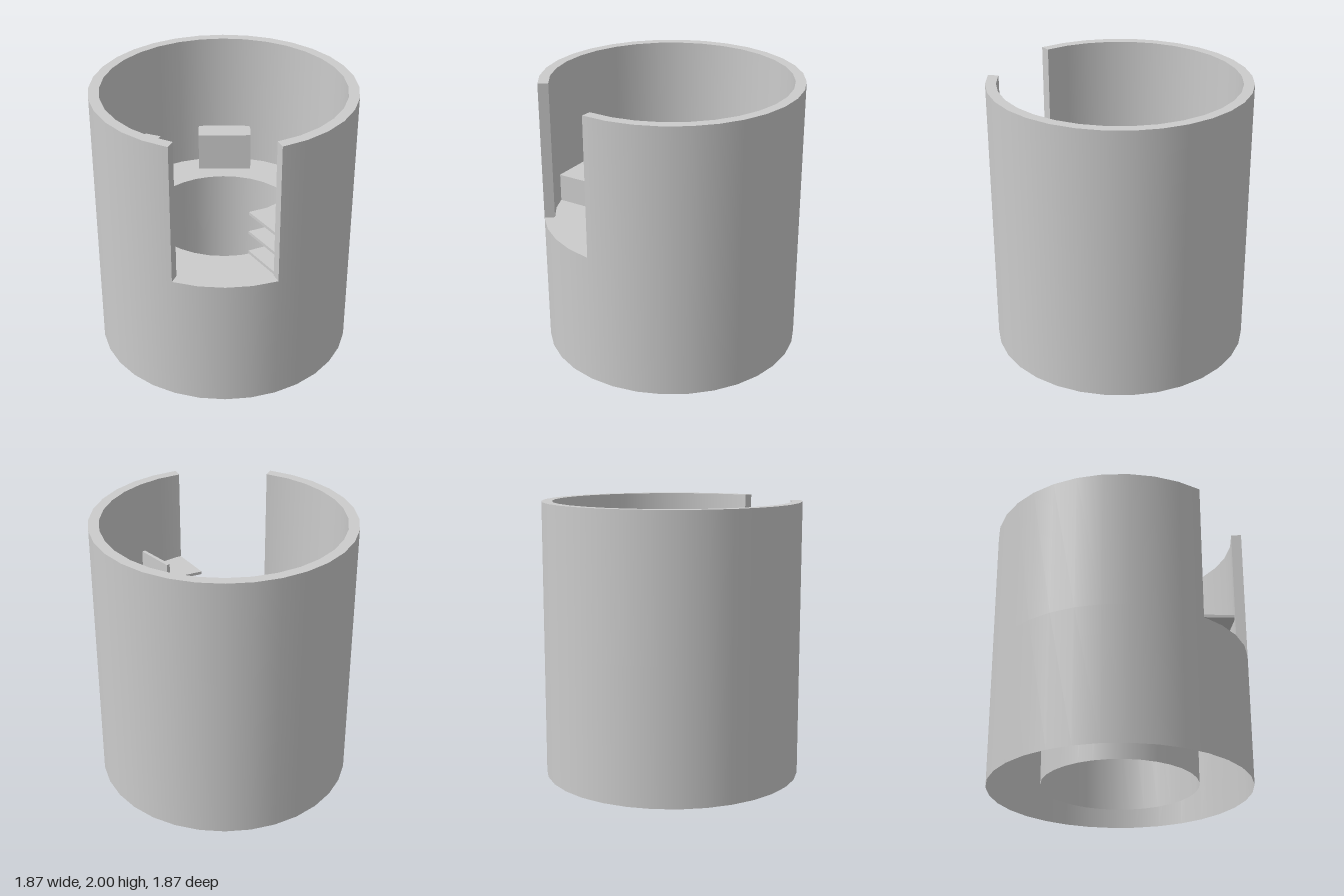
import * as THREE from 'three';

const OUTER = 0.935, INNER = 0.86, HOLE = 0.557, FLOOR = 0.975, TOP = 2;
const GAP = Math.PI / 8; // half angle of the front opening

export function createModel() {
  const group = new THREE.Group();
  const mat = new THREE.MeshStandardMaterial({ color: 0xcccccc, side: THREE.DoubleSide });

  const add = (name, geometry, parent = group) => {
    const mesh = new THREE.Mesh(geometry, mat);
    mesh.name = name;
    parent.add(mesh);
    return mesh;
  };

  // One lathed band between two profile points, so edges between bands stay sharp
  const band = (name, a, b, open) => {
    const pts = [new THREE.Vector2(...a), new THREE.Vector2(...b)];
    return add(name, open
      ? new THREE.LatheGeometry(pts, 28, GAP, Math.PI * 2 - 2 * GAP)
      : new THREE.LatheGeometry(pts, 32));
  };

  // Lower body: outer skin, floor ring and central tube, open underneath
  band('lowerShell', [OUTER, 0], [OUTER, FLOOR], false);
  band('floorRing', [OUTER, FLOOR], [HOLE, FLOOR], false);
  band('centralTube', [HOLE, FLOOR], [HOLE, 0.03], false);

  // Upper wall with the opening at the front
  band('upperWallOutside', [OUTER, FLOOR], [OUTER, TOP], true);
  band('upperWallRim', [OUTER, TOP], [INNER, TOP], true);
  band('upperWallInside', [INNER, TOP], [INNER, FLOOR], true);
  for (const side of [-1, 1]) {
    const r = (OUTER + INNER) / 2;
    const end = add(side > 0 ? 'leftWallEnd' : 'rightWallEnd',
      new THREE.PlaneGeometry(OUTER - INNER, TOP - FLOOR));
    end.position.set(side * r * Math.sin(GAP), (FLOOR + TOP) / 2, r * Math.cos(GAP));
    end.rotation.y = side * GAP - Math.PI / 2;
  }

  // Upright prism over a plan outline given as [x, z] corners
  const prism = (name, plan, y0, y1, parent) => {
    const shape = new THREE.Shape(plan.map(([x, z]) => new THREE.Vector2(x, -z)));
    const geo = new THREE.ExtrudeGeometry(shape, { depth: y1 - y0, bevelEnabled: false });
    geo.rotateX(-Math.PI / 2).translate(0, y0, 0);
    return add(name, geo, parent);
  };

  // Blocks standing on the floor around the hole
  prism('backBlock', [[-0.19, -0.68], [0.215, -0.68], [0.215, -0.85], [-0.19, -0.85]], FLOOR, 1.27);
  prism('leftBlock', [[0.67, 0.225], [0.81, 0.225], [0.81, -0.305], [0.67, -0.305]], FLOOR, 1.32);
  prism('rightBackBlock', [[-0.48, -0.575], [-0.6, -0.625], [-0.81, -0.14], [-0.68, -0.09]], FLOOR, 1.32);
  prism('rightFrontBlock', [[-0.63, 0.05], [-0.375, 0.515], [-0.585, 0.63], [-0.84, 0.165]], FLOOR, 1.18);

  // Rack of three thin shelves against an upright plate
  const rack = new THREE.Group();
  rack.name = 'shelfRack';
  group.add(rack);
  const shelf = [[0.165, 0.53], [0.33, 0.79], [0.36, 0.775], [0.6, 0.6], [0.405, 0.38], [0.29, 0.475]];
  for (const y of [0.98, 1.14, 1.295]) prism('shelf', shelf, y, y + 0.022, rack);
  prism('shelfPlate', [[0.4, 0.38], [0.595, 0.605], [0.615, 0.59], [0.42, 0.36]], FLOOR, 1.46, rack);

  return group;
}
